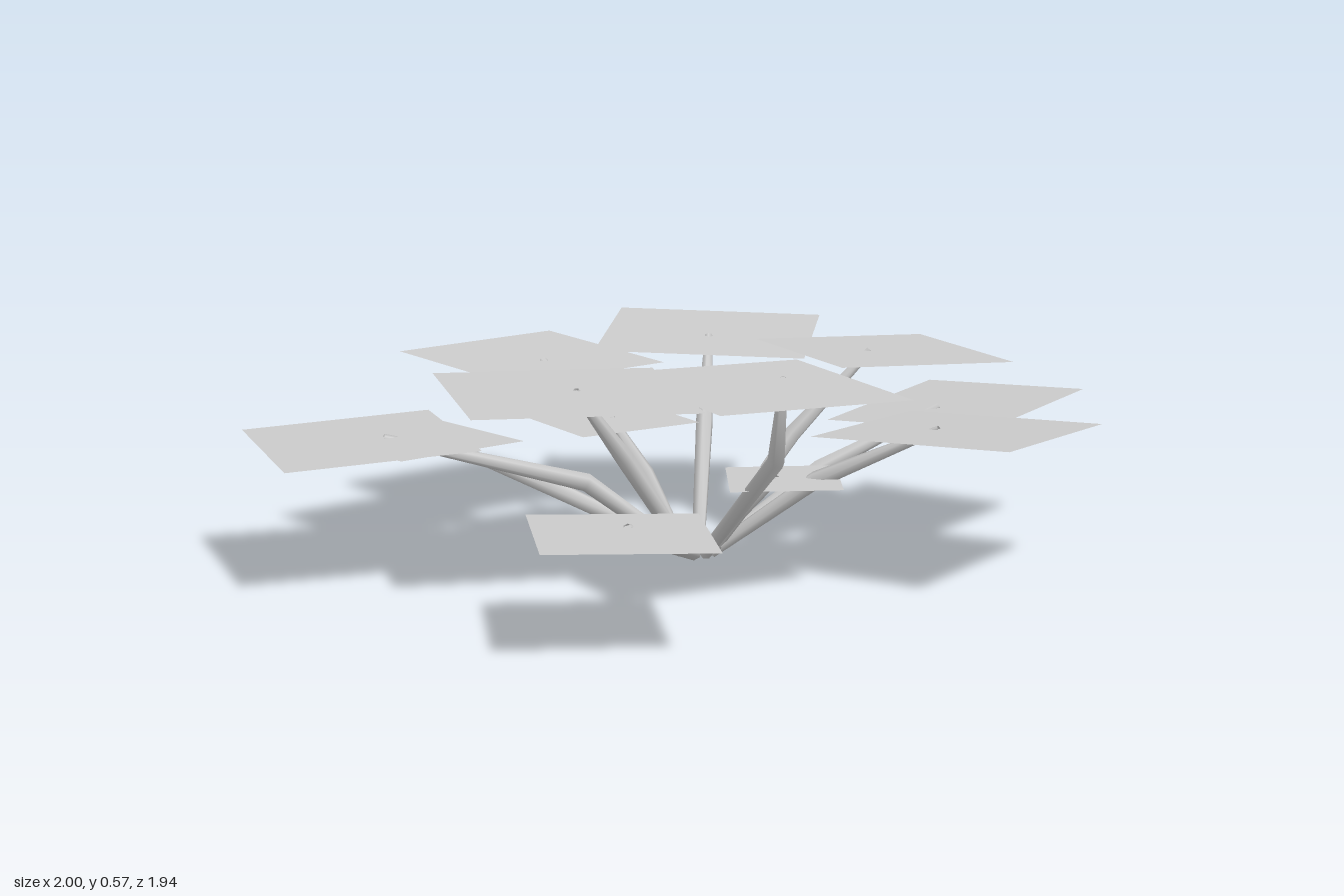
import * as THREE from 'three';

const material = new THREE.MeshStandardMaterial({ color: 0xcccccc, side: THREE.DoubleSide });
const ROOT = new THREE.Vector3(0.07, 0.018, 0);

// leaf centre, turn in degrees, width and depth, slope along x and z;
// bend: how far out the stem kinks; lean: sideways shift of the stem tip
const LEAVES = [
  { at: [-0.65, 0.36, -0.52], turn: -30.6, size: [0.5, 0.54], slope: [0.035, 0.02], bend: 0.36 },
  { at: [-0.225, 0.262, -0.743], turn: -8, size: [0.41, 0.41], slope: [-0.01, 0], bend: 0.55 },
  { at: [0.167, 0.44, -0.684], turn: -8.7, size: [0.53, 0.51], slope: [0, -0.04], bend: 0.54 },
  { at: [0.506, 0.505, -0.323], turn: -56.4, size: [0.57, 0.545], slope: [0.03, -0.04], bend: 0.6 },
  { at: [-0.028, 0.36, -0.24], turn: -17.5, size: [0.353, 0.385], slope: [0, 0], bend: 0.6 },
  { at: [-0.389, 0.505, -0.045], turn: -36, size: [0.58, 0.58], slope: [-0.01, -0.02], bend: 0.6 },
  { at: [-0.7, 0.275, 0.417], turn: -42.4, size: [0.42, 0.43], slope: [-0.03, 0], bend: 0.6 },
  { at: [-0.197, 0.553, 0.427], turn: -20.2, size: [0.54, 0.54], slope: [-0.02, -0.03], bend: 0.92, lean: 0.11 },
  { at: [0.51, 0.525, 0.272], turn: -26, size: [0.5, 0.52], slope: [-0.05, 0], bend: 0.55 },
  { at: [0.726, 0.357, 0.361], turn: 3.9, size: [0.515, 0.49], slope: [0.06, 0.06], bend: 0.5 },
  { at: [0.324, 0.39, 0.652], turn: 8.9, size: [0.55, 0.55], slope: [-0.045, 0.05], bend: 0.5 },
  { at: [0.127, 0.238, 0.244], turn: -48, size: [0.29, 0.29], slope: [0.01, 0.01], bend: 0.55 },
];

// flat square leaf, tilted by shearing its height
function leafGeometry({ at, turn, size, slope }) {
  const geo = new THREE.PlaneGeometry(size[0], size[1]);
  geo.rotateX(-Math.PI / 2).rotateY(THREE.MathUtils.degToRad(turn));
  const p = geo.attributes.position;
  for (let i = 0; i < p.count; i++) p.setY(i, slope[0] * p.getX(i) + slope[1] * p.getZ(i));
  geo.translate(...at);
  geo.computeVertexNormals();
  return geo;
}

// stem line: starts on a small ring around the root, kinks once, ends under the leaf
function stemPath({ at, slope, bend, lean = 0 }) {
  const centre = new THREE.Vector3(...at);
  const tip = ROOT.clone().lerp(centre, 0.93);
  tip.x += lean;
  tip.y = at[1] + slope[0] * (tip.x - at[0]) + slope[1] * (tip.z - at[2]);
  const out = tip.clone().sub(ROOT).setY(0).normalize();
  const base = ROOT.clone().addScaledVector(out, 0.04);
  const kink = ROOT.clone().lerp(tip, bend).setY(tip.y * 0.6);
  return [base, kink, tip];
}

// tapering stem: one ring per point of the path, capped at the base
function stemGeometry(points, radii, sides = 6) {
  const positions = [], index = [];
  points.forEach((point, i) => {
    const before = points[Math.max(i - 1, 0)];
    const after = points[Math.min(i + 1, points.length - 1)];
    const along = after.clone().sub(before).normalize();
    const turn = new THREE.Quaternion().setFromUnitVectors(new THREE.Vector3(0, 1, 0), along);
    for (let s = 0; s < sides; s++) {
      const a = (s / sides) * Math.PI * 2;
      const v = new THREE.Vector3(Math.sin(a), 0, Math.cos(a)).multiplyScalar(radii[i]);
      positions.push(...v.applyQuaternion(turn).add(point).toArray());
      if (i === 0) continue;
      const n = (s + 1) % sides, low = (i - 1) * sides, high = i * sides;
      index.push(low + s, low + n, high + s, low + n, high + n, high + s);
    }
  });
  for (let s = 1; s < sides - 1; s++) index.push(0, s + 1, s);
  const geo = new THREE.BufferGeometry();
  geo.setAttribute('position', new THREE.Float32BufferAttribute(positions, 3));
  geo.setIndex(index);
  geo.computeVertexNormals();
  return geo;
}

export function createModel() {
  const plant = new THREE.Group();
  plant.name = 'leafyPlant';
  for (const spec of LEAVES) {
    const leaf = new THREE.Mesh(leafGeometry(spec), material);
    leaf.name = 'leaf';
    const stem = new THREE.Mesh(stemGeometry(stemPath(spec), [0.018, 0.024, 0.011]), material);
    stem.name = 'stem';
    plant.add(leaf, stem);
  }
  return plant;
}
